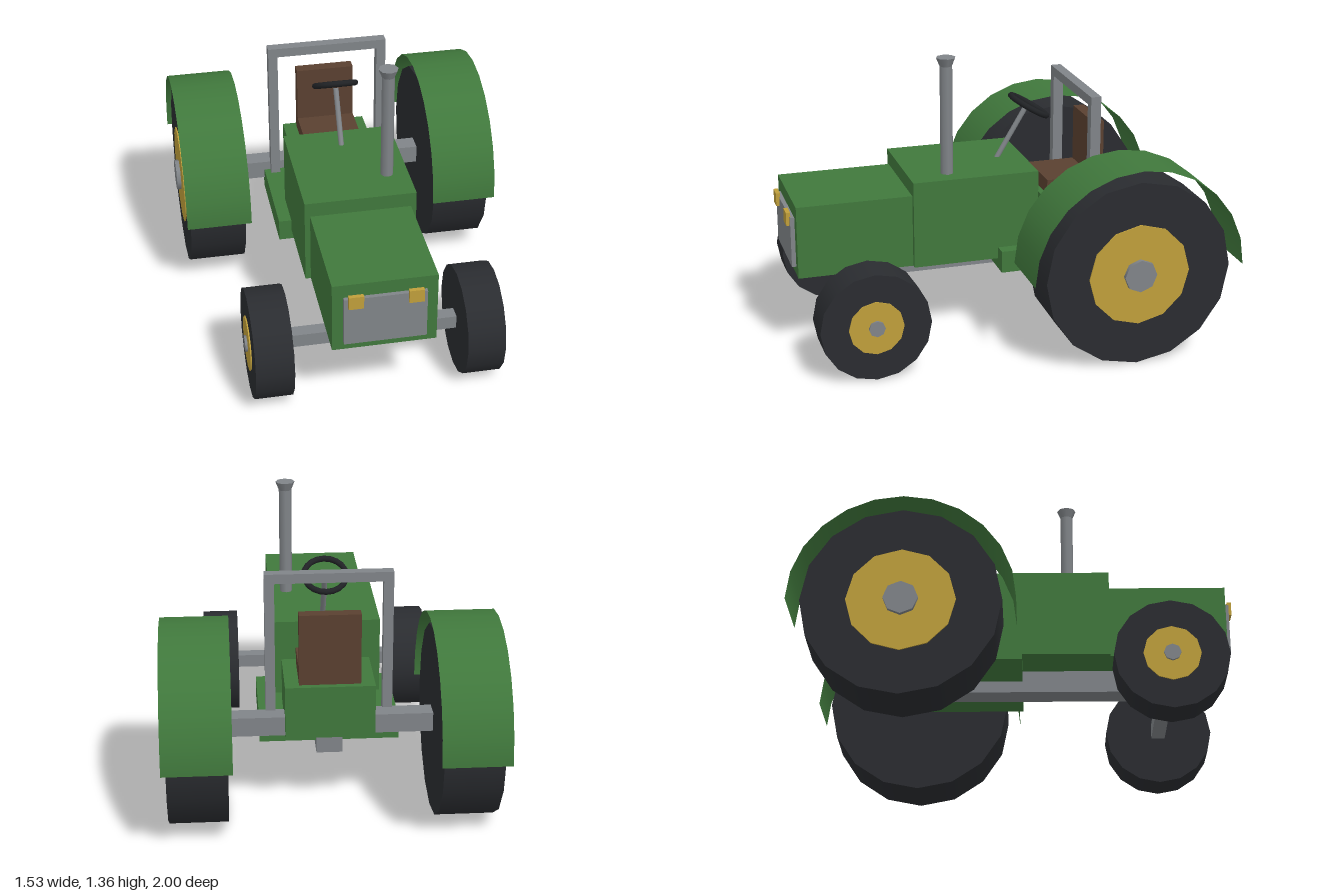
import * as THREE from 'three';

const mat = (color, side = THREE.FrontSide) => new THREE.MeshStandardMaterial({ color, side });
const green = mat(0x40783c);
const fenderGreen = mat(0x40783c, THREE.DoubleSide);
const yellow = mat(0xbf9f3b);
const rubber = mat(0x2a2c30);
const grey = mat(0x808488);
const brown = mat(0x5a4030);
const black = mat(0x202225);

export function createModel() {
  const model = new THREE.Group();
  model.name = 'tractor';

  const add = (name, geometry, material, x = 0, y = 0, z = 0, parent = model) => {
    const mesh = new THREE.Mesh(geometry, material);
    mesh.name = name;
    mesh.position.set(x, y, z);
    parent.add(mesh);
    return mesh;
  };
  // box given by its [min, max] range on each axis
  const box = (name, material, [x0, x1], [y0, y1], [z0, z1]) =>
    add(name, new THREE.BoxGeometry(x1 - x0, y1 - y0, z1 - z0), material,
      (x0 + x1) / 2, (y0 + y1) / 2, (z0 + z1) / 2);
  // cylinder lying along x between x0 and x1
  const disc = (name, material, r, sides, x0, x1, parent) =>
    add(name, new THREE.CylinderGeometry(r, r, Math.abs(x1 - x0), sides).rotateZ(Math.PI / 2),
      material, (x0 + x1) / 2, 0, 0, parent);

  // body
  box('hood', green, [-0.235, 0.235], [0.39, 0.735], [0.42, 0.965]);
  box('cowl', green, [-0.26, 0.26], [0.39, 0.805], [-0.175, 0.425]);
  box('platform', green, [-0.32, 0.32], [0.34, 0.445], [-0.48, 0.02]);
  box('seatBase', green, [-0.205, 0.205], [0.39, 0.64], [-0.56, -0.23]);
  box('grille', grey, [-0.185, 0.185], [0.43, 0.67], [0.96, 0.985]);

  // chassis
  box('chassisBeam', grey, [-0.06, 0.06], [0.285, 0.395], [-0.5, 0.7]);
  box('frontAxle', grey, [-0.45, 0.45], [0.225, 0.29], [0.645, 0.71]);
  box('rearAxle', grey, [-0.5, 0.5], [0.4, 0.49], [-0.545, -0.455]);

  // seat
  box('seatCushion', brown, [-0.14, 0.14], [0.64, 0.71], [-0.53, -0.26]);
  box('seatBack', brown, [-0.14, 0.14], [0.65, 0.98], [-0.54, -0.485]);

  // roll bar
  box('rollBarTop', grey, [-0.29, 0.29], [1.105, 1.15], [-0.467, -0.418]);

  for (const s of [-1, 1]) {
    const side = s > 0 ? 'left' : 'right';
    const span = (a, b) => [Math.min(s * a, s * b), Math.max(s * a, s * b)];
    box(side + 'RollBarPost', grey, span(0.245, 0.29), [0.44, 1.105], [-0.467, -0.418]);
    box(side + 'Headlight', yellow, span(0.1, 0.167), [0.627, 0.69], [0.98, 1]);

    // rear wheel and its arched fender
    const rear = new THREE.Group();
    rear.name = side + 'RearWheel';
    rear.position.set(0, 0.44, -0.5);
    model.add(rear);
    disc('rearTyre', rubber, 0.44, 16, s * 0.47, s * 0.74, rear);
    disc('rearRim', yellow, 0.24, 12, s * 0.6, s * 0.747, rear);
    disc('rearHub', grey, 0.077, 8, s * 0.65, s * 0.767, rear);
    add('rearFender', new THREE.CylinderGeometry(0.5, 0.5, 0.31, 12, 1, true, 0, Math.PI)
      .rotateZ(Math.PI / 2), fenderGreen, s * 0.605, 0, 0, rear);

    // front wheel
    const front = new THREE.Group();
    front.name = side + 'FrontWheel';
    front.position.set(0, 0.255, 0.68);
    model.add(front);
    disc('frontTyre', rubber, 0.255, 16, s * 0.395, s * 0.57, front);
    disc('frontRim', yellow, 0.127, 12, s * 0.5, s * 0.576, front);
    disc('frontHub', grey, 0.038, 8, s * 0.5, s * 0.587, front);
  }

  // exhaust pipe with flared tip
  add('exhaustPipe', new THREE.CylinderGeometry(0.03, 0.03, 0.54, 8), grey, 0.16, 1.06, 0.24);
  add('exhaustTip', new THREE.CylinderGeometry(0.046, 0.03, 0.04, 8), grey, 0.16, 1.34, 0.24);

  // steering column and wheel share one backward tilt
  const steering = new THREE.Group();
  steering.name = 'steering';
  steering.position.set(0, 0.8, -0.05);
  steering.rotation.x = -0.54;
  model.add(steering);
  add('steeringColumn', new THREE.CylinderGeometry(0.013, 0.013, 0.32, 8), grey, 0, 0.115, 0, steering);
  add('steeringWheel', new THREE.TorusGeometry(0.098, 0.014, 8, 20).rotateX(Math.PI / 2), black,
    0, 0.293, -0.01, steering);

  return model;
}
